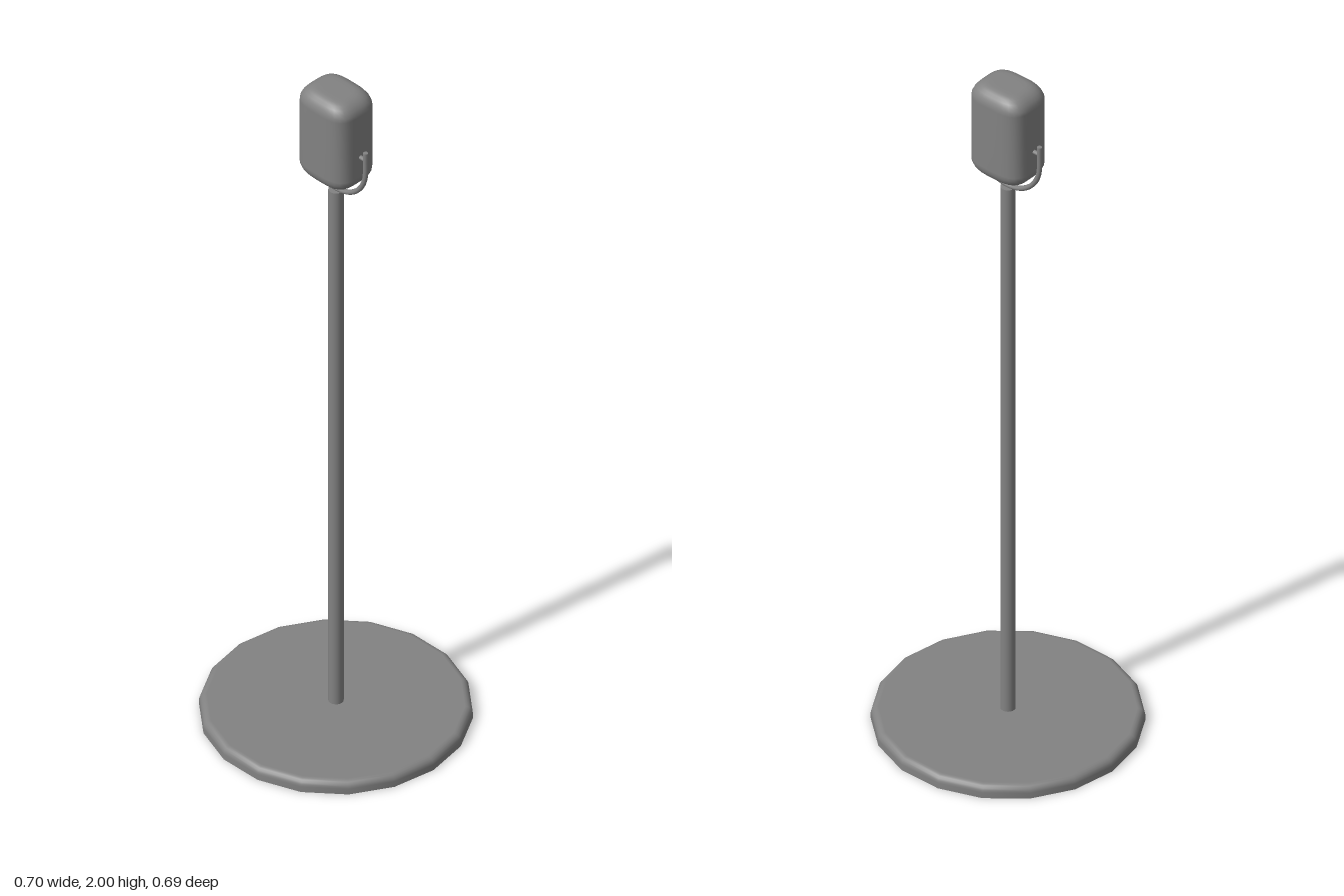
import * as THREE from 'three';
import { mergeVertices } from 'three/addons/utils/BufferGeometryUtils.js';

const material = new THREE.MeshStandardMaterial({ color: 0x828282 });

function add(parent, name, geometry, x = 0, y = 0, z = 0) {
  const mesh = new THREE.Mesh(geometry, material);
  mesh.name = name;
  mesh.position.set(x, y, z);
  parent.add(mesh);
  return mesh;
}

// Soft capsule-like block: a turned profile pushed out to a superellipse plan
function headGeometry(hx, hy, hz, edge) {
  const profile = [new THREE.Vector2(0, -hy), new THREE.Vector2(0.3, -hy)];
  for (const s of [-1, 1]) {
    for (let i = 0; i <= 6; i++) {
      const a = (s < 0 ? i - 6 : i) / 6 * Math.PI / 2;
      profile.push(new THREE.Vector2(0.5 + 0.5 * Math.cos(a), s * (hy - edge) + edge * Math.sin(a)));
    }
  }
  profile.push(new THREE.Vector2(0.3, hy), new THREE.Vector2(0, hy));
  const lathe = new THREE.LatheGeometry(profile, 40);
  lathe.deleteAttribute('uv');
  lathe.deleteAttribute('normal');
  const p = lathe.attributes.position;
  for (let i = 0; i < p.count; i++) {
    const x = p.getX(i), z = p.getZ(i), r = Math.hypot(x, z);
    if (r < 1e-6) continue;
    const k = r / Math.pow(Math.abs(x / r) ** 3.5 + Math.abs(z / r) ** 3.5, 1 / 3.5);
    p.setXYZ(i, hx * k * x / r, p.getY(i), hz * k * z / r);
  }
  const geometry = mergeVertices(lathe, 1e-5);
  geometry.computeVertexNormals();
  return geometry;
}

export function createModel() {
  const group = new THREE.Group();
  group.name = 'microphoneStand';

  // Eighteen-sided base plate with a softly rounded upper rim
  const R = 0.35, H = 0.037, bevel = 0.02;
  const rim = [new THREE.Vector2(R, 0)];
  for (let i = 0; i <= 5; i++) {
    const a = (i / 5) * Math.PI / 2;
    rim.push(new THREE.Vector2(R - bevel + bevel * Math.cos(a), H - bevel + bevel * Math.sin(a)));
  }
  rim.push(new THREE.Vector2(0, H));
  const base = new THREE.Group();
  base.name = 'base';
  base.rotation.y = Math.PI / 18;
  add(base, 'basePlate', new THREE.LatheGeometry(rim, 18));
  const underside = new THREE.CircleGeometry(R, 18, Math.PI / 2);
  add(base, 'baseUnderside', underside.rotateX(Math.PI / 2));
  group.add(base);

  // Upright pole
  const poleTop = 1.678, poleBottom = 0.03;
  add(group, 'pole', new THREE.CylinderGeometry(0.02, 0.02, poleTop - poleBottom, 18), 0, (poleTop + poleBottom) / 2);

  // U-shaped yoke: two straight arms joined by a half circle
  const arm = 0.106, tube = 0.007, bend = 1.788, armTop = 1.85;
  const points = [new THREE.Vector3(-arm, armTop, 0), new THREE.Vector3(-arm, (armTop + bend) / 2, 0)];
  for (let i = 0; i <= 16; i++) {
    const a = Math.PI * (1 + i / 16);
    points.push(new THREE.Vector3(arm * Math.cos(a), bend + arm * Math.sin(a), 0));
  }
  points.push(new THREE.Vector3(arm, (armTop + bend) / 2, 0), new THREE.Vector3(arm, armTop, 0));
  add(group, 'yoke', new THREE.TubeGeometry(new THREE.CatmullRomCurve3(points), 64, tube, 10));

  // Arm end caps and pivot pins
  for (const [side, s] of [['left', 1], ['right', -1]]) {
    add(group, side + 'ArmCap', new THREE.CircleGeometry(tube, 10).rotateX(-Math.PI / 2), s * arm, armTop);
    add(group, side + 'PivotPin', new THREE.CylinderGeometry(0.006, 0.006, 0.034, 10).rotateZ(Math.PI / 2), s * 0.09, 1.827);
  }

  // Rounded microphone head
  add(group, 'head', headGeometry(0.088, 0.138, 0.072, 0.042), 0, 1.862);

  return group;
}
